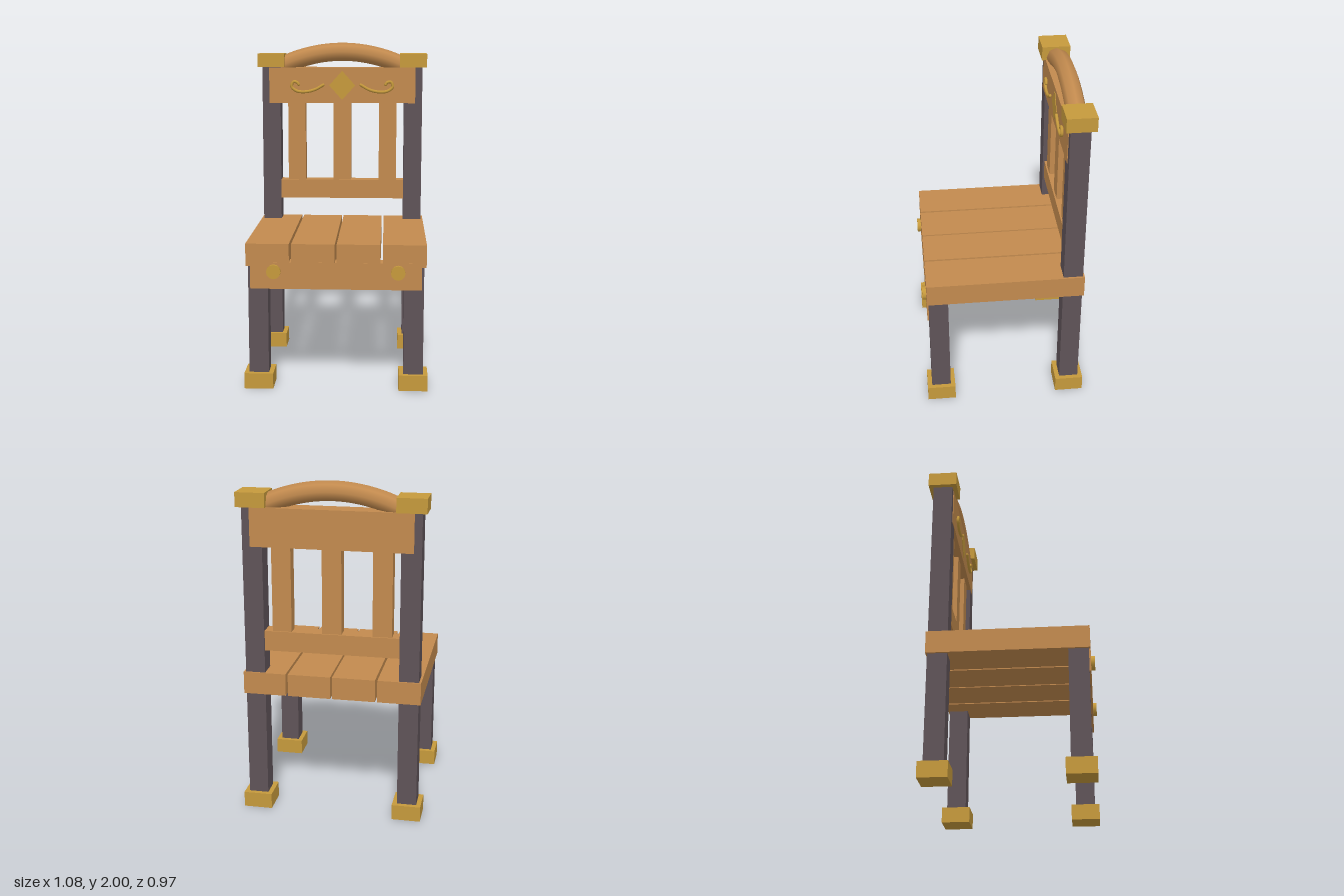
import * as THREE from 'three';

export function createModel() {
  const chair = new THREE.Group();
  chair.name = 'chair';

  const material = (name, color) => {
    const m = new THREE.MeshStandardMaterial({ color });
    m.name = name;
    return m;
  };
  const wood = material('warm wood', 0xc28a4e);
  const dark = material('dark post', 0x5f5358);
  const gold = material('gold metal', 0xc5993c);

  const add = (name, geometry, mat, x = 0, y = 0, z = 0) => {
    const mesh = new THREE.Mesh(geometry, mat);
    mesh.name = name;
    mesh.position.set(x, y, z);
    chair.add(mesh);
    return mesh;
  };
  // Box given by its lower and upper limits on each axis
  const box = (name, mat, [x0, x1], [y0, y1], [z0, z1]) =>
    add(name, new THREE.BoxGeometry(x1 - x0, y1 - y0, z1 - z0), mat,
      (x0 + x1) / 2, (y0 + y1) / 2, (z0 + z1) / 2);
  const around = (c, size) => [c - size / 2, c + size / 2];

  for (const side of [-1, 1]) {
    const label = side > 0 ? 'left' : 'right';
    const px = around(side * 0.4525, 0.115);
    const bx = around(side * 0.4525, 0.17);

    // Legs, back posts, metal feet and caps
    box(label + 'FrontLeg', dark, px, [0.01, 0.74], around(0.398, 0.115));
    box(label + 'BackPost', dark, px, [0.01, 1.9], around(-0.398, 0.115));
    box(label + 'FrontFoot', gold, bx, [0, 0.093], around(0.398, 0.17));
    box(label + 'BackFoot', gold, bx, [0, 0.093], around(-0.398, 0.17));
    box(label + 'PostCap', gold, bx, [1.848, 1.932], around(-0.398, 0.17));

    // Round stud on the apron
    const stud = new THREE.CylinderGeometry(0.042, 0.042, 0.03, 12);
    stud.rotateX(Math.PI / 2);
    add(label + 'Stud', stud, gold, side * 0.36, 0.706, 0.472);

    // Curled metal scroll on the top rail
    const scroll = new THREE.CatmullRomCurve3([
      [0.12, 1.735], [0.17, 1.707], [0.23, 1.692], [0.29, 1.697],
      [0.322, 1.725], [0.31, 1.755], [0.285, 1.75], [0.277, 1.738],
    ].map(([x, y]) => new THREE.Vector3(side * x, y, -0.329)));
    add(label + 'Scroll', new THREE.TubeGeometry(scroll, 40, 0.0095, 8), gold);
    for (const t of [0, 1]) {
      const p = scroll.getPoint(t);
      add(label + 'ScrollTip', new THREE.SphereGeometry(0.0095, 8, 6), gold, p.x, p.y, p.z);
    }
  }

  // Seat planks and front apron
  for (const x of [-0.397, -0.1315, 0.1315, 0.397]) {
    box('seatPlank', wood, around(x, 0.252), [0.735, 0.868], [-0.465, 0.464]);
  }
  box('frontApron', wood, [-0.497, 0.497], [0.602, 0.76], [0.38, 0.465]);

  // Backrest: rails and slats
  box('topRail', wood, [-0.466, 0.466], [1.62, 1.845], [-0.457, -0.337]);
  box('lowerRail', wood, [-0.4, 0.4], [1.003, 1.122], [-0.445, -0.351]);
  for (const x of [-0.292, 0, 0.292]) {
    box('backSlat', wood, around(x, 0.112), [1.11, 1.63], around(-0.398, 0.075));
  }

  // Arched crest between the caps
  const archPoints = [];
  for (let i = -4; i <= 4; i++) {
    const x = i * 0.1;
    archPoints.push(new THREE.Vector3(x, 1.9425 - 0.58 * x * x, -0.398));
  }
  add('crestArch', new THREE.TubeGeometry(
    new THREE.CatmullRomCurve3(archPoints), 32, 0.0575, 8), wood);

  // Diamond plate in the middle of the top rail
  const diamond = new THREE.Shape([[0, -0.092], [0.083, 0], [0, 0.092], [-0.083, 0]]
    .map(([x, y]) => new THREE.Vector2(x, y)));
  add('diamondPlate', new THREE.ExtrudeGeometry(diamond, { depth: 0.004, bevelEnabled: false }),
    gold, 0, 1.732, -0.338);

  return chair;
}
